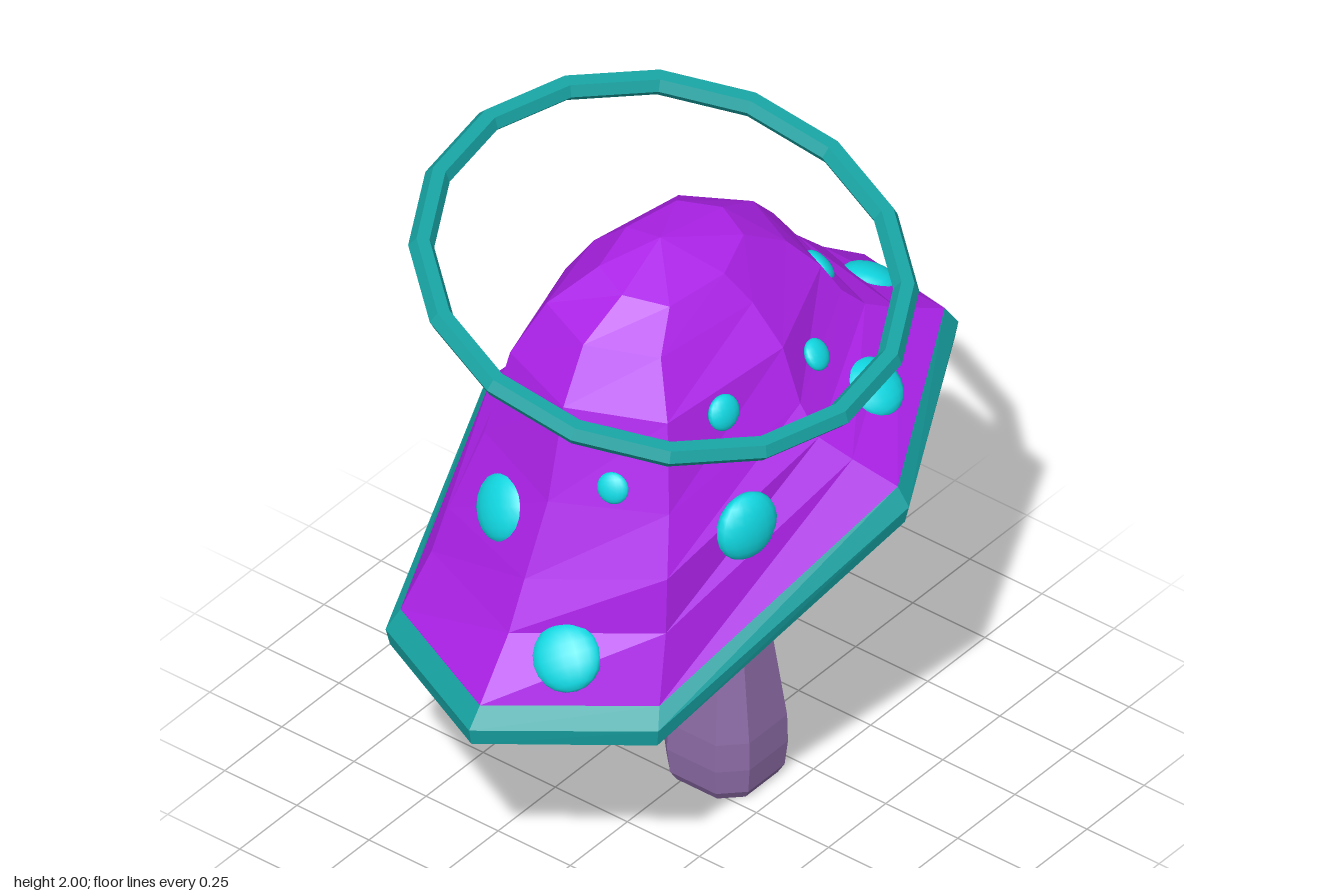
import * as THREE from 'three';
import { mergeVertices } from 'three/addons/utils/BufferGeometryUtils.js';

const V = (x, y, z) => new THREE.Vector3(x, y, z);
const paint = (color, flatShading = true) => new THREE.MeshStandardMaterial({ color, flatShading });

// Joins closed rings of points, listed from bottom to top, into a faceted surface
function loft(rings) {
  const pos = [];
  for (let i = 0; i < rings.length - 1; i++) {
    const a = rings[i], b = rings[i + 1], n = a.length;
    for (let j = 0; j < n; j++) {
      const k = (j + 1) % n;
      for (const t of [[a[j], a[k], b[k]], [a[j], b[k], b[j]]]) {
        const area = t[1].clone().sub(t[0]).cross(t[2].clone().sub(t[0])).length();
        if (area > 1e-8) t.forEach((p) => pos.push(p.x, p.y, p.z));
      }
    }
  }
  const g = new THREE.BufferGeometry();
  g.setAttribute('position', new THREE.Float32BufferAttribute(pos, 3));
  g.computeVertexNormals();
  return g;
}

// Shares the corners of a lofted surface so that it shades smoothly
function smooth(geometry) {
  geometry.deleteAttribute('normal');
  const g = mergeVertices(geometry);
  g.computeVertexNormals();
  return g;
}

// Outermost corners of the lopsided cap rim, from the model's right side round the front
const RIM = [
  [-0.905, 0.69, -0.03], [-0.62, 0.72, 0.4], [0.15, 1.15, 0.66], [0.72, 1.31, 0.38],
  [0.905, 1.19, -0.06], [0.62, 1.17, -0.49], [-0.05, 1.05, -0.66], [-0.69, 0.69, -0.49],
];
const rimRing = (sx, sz, dy, floor) =>
  RIM.map(([x, y, z]) => V(x * sx, Math.max(floor, y + dy), z * sz));

// Outline of the dome, one corner above each rim corner
const OUTLINE = [[-1, 0], [-0.77, 0.8], [0.12, 1], [0.8, 0.65],
  [1, -0.05], [0.72, -0.75], [-0.05, -1], [-0.8, -0.75]];
const domeRing = ([cx, rx, cz, rz, y, leanX, leanZ]) => OUTLINE.map(([u, v]) => {
  const x = cx + rx * u, z = cz + rz * v;
  return V(x, y + leanX * x + leanZ * z, z);
});

// Dome rings: centre x, radius x, centre z, radius z, height, lean along x and z
const DOME = [
  [-0.04, 0.61, -0.04, 0.48, 1.29, 0.36, 0.12],
  [-0.03, 0.53, -0.03, 0.405, 1.43, 0.29, 0],
  [-0.01, 0.47, -0.04, 0.345, 1.585, 0.1, 0],
  [0, 0.38, -0.05, 0.25, 1.7, 0.04, -0.03],
  [-0.01, 0.225, -0.03, 0.155, 1.79, 0.06, -0.12],
  [-0.03, 0, -0.06, 0, 1.84, 0, 0],
];

// Spots: x, y, z, radius
const SPOTS = [
  [-0.25, 1.21, 0.42, 0.1], [-0.21, 1.52, 0.31, 0.052], [0.18, 1.51, 0.34, 0.046],
  [0.3, 1.35, 0.41, 0.09], [0.43, 1.56, 0.13, 0.052], [0.64, 1.37, 0.12, 0.08],
  [-0.67, 0.88, 0.13, 0.098], [-0.475, 1.34, 0.13, 0.046], [0.47, 1.53, -0.145, 0.046],
  [0.17, 1.31, -0.485, 0.088], [0.07, 1.6, -0.33, 0.034], [-0.21, 1.39, -0.36, 0.036],
  [-0.515, 1.14, -0.2, 0.1],
];

export function createModel() {
  const model = new THREE.Group();
  model.name = 'mushroom';
  const add = (name, geometry, material, parent = model) => {
    const mesh = new THREE.Mesh(geometry, material);
    mesh.name = name;
    parent.add(mesh);
    return mesh;
  };
  const teal = paint(0x17a2a2);

  // Stem: chamfered square section, swollen at the foot
  const c = 0.56;
  const section = [[-1, -c], [-1, c], [-c, 1], [c, 1], [1, c], [1, -c], [c, -1], [-c, -1]];
  const stemProfile = [[0, 0], [0.125, 0], [0.142, 0.03], [0.15, 0.11], [0.148, 0.2],
    [0.097, 0.59], [0.097, 0.95], [0, 0.95]];
  add('stem', loft(stemProfile.map(([r, y]) =>
    section.map(([x, z]) => V(0.108 + r * x, y, 0.057 + r * z)))), paint(0x8b6ba5));

  // Cap: dome with a hollow flare, bevelled rim and an underside fanned from its front corner
  const top = rimRing(0.95, 0.95, 0.06, 0);
  const under = rimRing(0.92, 0.86, -0.1, 0.635);
  const domeRings = DOME.map(domeRing);
  const flare = top.map((p, i) => p.clone().lerp(domeRings[0][i], 0.55).multiply(V(0.975, 1, 0.99)));
  const dome = add('capDome', loft([top, flare, ...domeRings]), paint(0xac22e8));
  add('capRim', loft([under, rimRing(0.99, 0.98, -0.055, 0.64), rimRing(1, 1, 0, 0), top]), teal);
  add('capUnderside', smooth(loft([under.map(() => under[1]), under])), paint(0x7212b6, false));

  // Spots: flattened domes laid on the cap surface
  const spots = new THREE.Group();
  spots.name = 'spots';
  model.add(spots);
  const spotGeometry = new THREE.SphereGeometry(1, 16, 10);
  const spotPaint = paint(0x10d8e2, false);
  const ray = new THREE.Raycaster();
  for (const [x, y, z, r] of SPOTS) {
    const p = V(x, y, z), out = V(x, 0.5 * Math.hypot(x, z), z).normalize();
    ray.set(p.clone().addScaledVector(out, 0.4), out.clone().negate());
    const hit = ray.intersectObject(dome)[0];
    const spot = add('spot', spotGeometry, spotPaint, spots);
    spot.position.copy(hit.point).lerp(p, 0.4);
    spot.quaternion.setFromUnitVectors(V(0, 0, 1), hit.face.normal);
    spot.scale.set(r, r, r * 0.48);
  }

  // Floating tilted ring above the cap
  const ring = new THREE.TorusGeometry(0.668, 0.036, 6, 16);
  ring.rotateZ(0.07).rotateX(Math.PI / 2);
  const halo = add('floatingRing', ring, teal);
  halo.position.set(-0.091, 1.8, 0);
  halo.rotation.set(0.252, 0, 0.057);

  return model;
}
